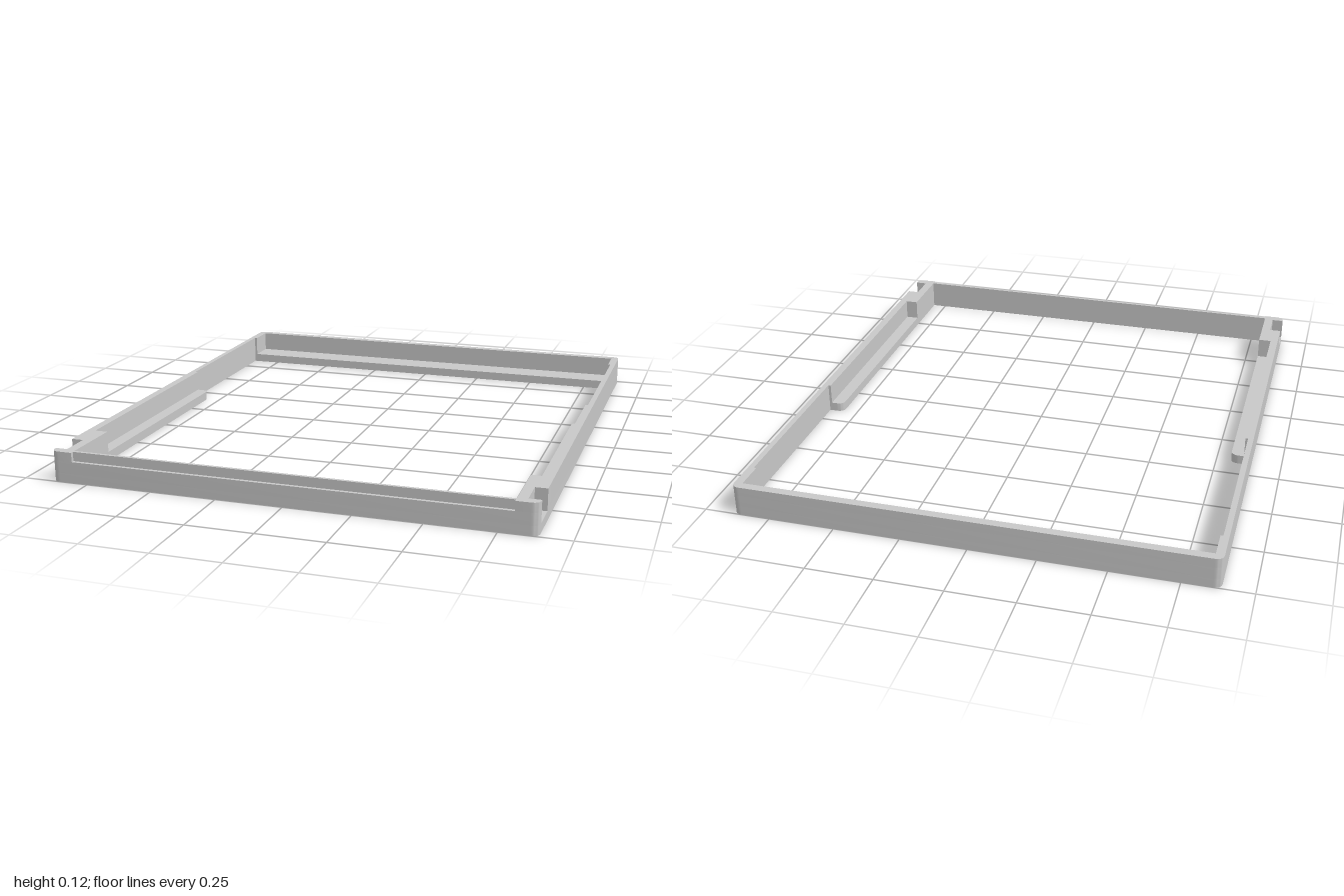
import * as THREE from 'three';
import { toCreasedNormals } from 'three/addons/utils/BufferGeometryUtils.js';

const X = 0.887, Z = 1, R = 0.03;           // outer half sizes and corner radius
const FLOOR = 0.035, STEP = 0.08, TOP = 0.115;

// Counter-clockwise outline from one half, given as [x, z, radius] from back to front, mirrored in x
function trace(path, half) {
  const pts = [...half.map(([x, z, r]) => [-x, z, r]), ...[...half].reverse()];
  const n = pts.length;
  pts.forEach(([x, z, r = 0], i) => {
    const c = new THREE.Vector2(x, -z);
    const toward = (q) => new THREE.Vector2(q[0], -q[1]).sub(c).setLength(r).add(c);
    const a = r ? toward(pts[(i + n - 1) % n]) : c;
    if (i === 0) path.moveTo(a.x, a.y);
    else path.lineTo(a.x, a.y);
    if (r) {
      const b = toward(pts[(i + 1) % n]);
      path.quadraticCurveTo(c.x, c.y, b.x, b.y);
    }
  });
  path.closePath();
  return path;
}

// Horizontal slab of the frame between two heights
function layer(name, outer, inner, y0, y1, material) {
  const shape = trace(new THREE.Shape(), outer);
  shape.holes.push(trace(new THREE.Path(), inner));
  const geo = new THREE.ExtrudeGeometry(shape, { depth: y1 - y0, bevelEnabled: false, curveSegments: 8 });
  geo.rotateX(-Math.PI / 2);
  geo.translate(0, y0, 0);
  const mesh = new THREE.Mesh(toCreasedNormals(geo, 0.6), material);
  mesh.name = name;
  return mesh;
}

export function createModel() {
  const group = new THREE.Group();
  group.name = 'trayFrame';
  const grey = new THREE.MeshStandardMaterial({ color: 0xc8c8c8 });
  grey.name = 'grey plastic';

  // Outer outlines: plain, with side pockets, and with the stepped front as well
  const plain = [[X, -Z, R], [X, Z, R]];
  const pockets = [[X, -Z, R], [X, 0.853], [0.842, 0.853], [0.842, 0.965], [X, 0.965], [X, Z, R]];
  const stepped = [...pockets, [0.806, Z], [0.806, 0.987]];

  // Inner outlines: floor with back shelf and side ledges, then walls with corner blocks
  const floorHole = [[0.866, -0.857], [0.866, -0.17], [0.806, -0.17, R], [0.806, 0.975]];
  const wallHole = [[0.856, -0.968], [0.856, -0.857], [0.866, -0.857], [0.866, -0.17],
    [0.856, -0.17], [0.856, 0.735], [0.806, 0.735], [0.806, 0.975]];

  group.add(
    layer('floorFrame', plain, floorHole, 0, FLOOR, grey),
    layer('wallFrame', pockets, wallHole, FLOOR, STEP, grey),
    layer('topRim', stepped, wallHole, STEP, TOP, grey),
  );
  return group;
}
